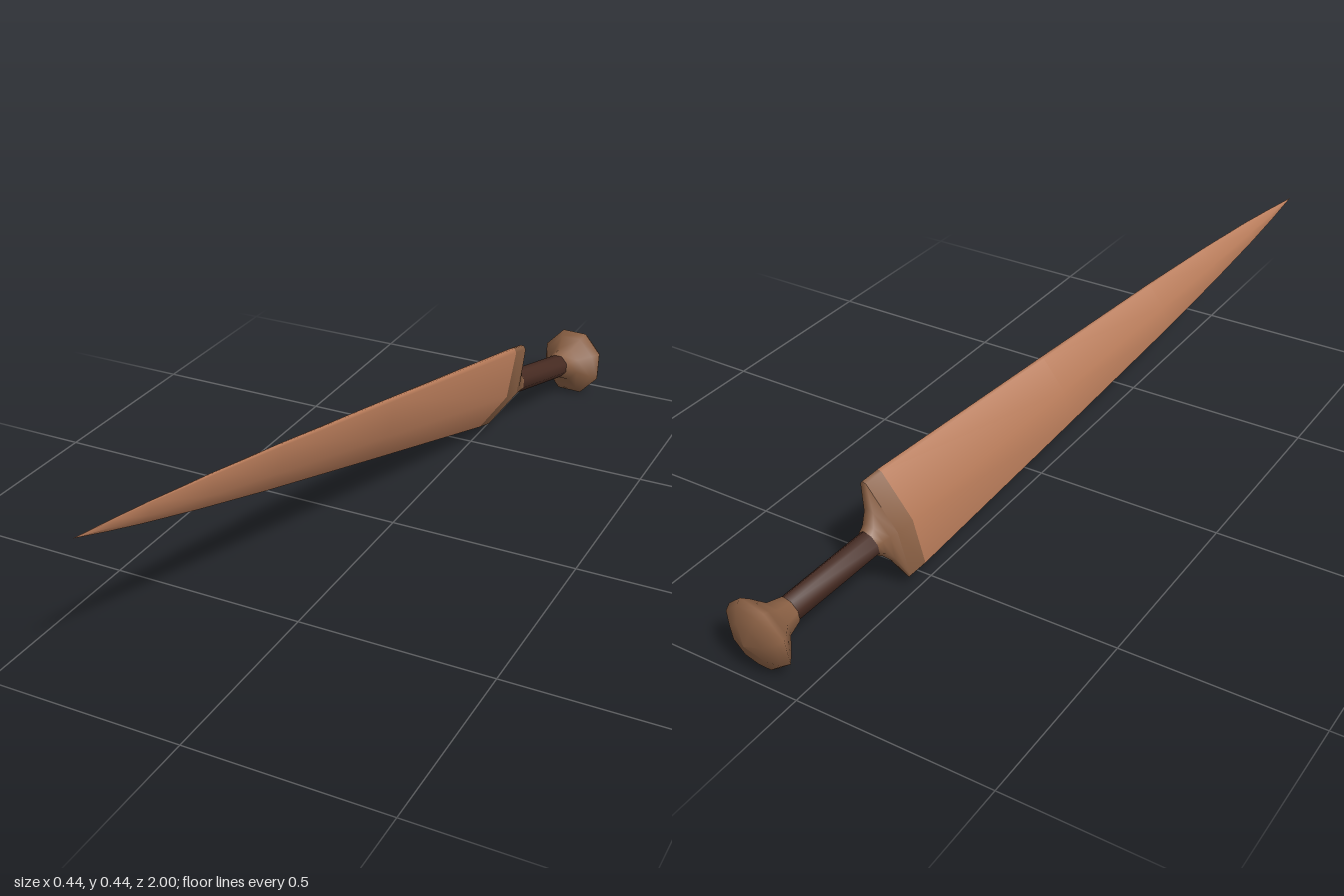
import * as THREE from 'three';

const SLOPE = new THREE.Vector3(-0.18, 0.18, 1); // run of the axis per unit of z
const STRETCH = SLOPE.length();
const lerp = THREE.MathUtils.lerp;

// Eight-sided ring: a = half width, b = half thickness, f = 0 round .. 1 flat blade section
function ring([z, a, b, f]) {
  const w = a * lerp(0.707, 0.95, f), t = b * lerp(0.707, 0.24, f);
  return [[a, 0], [w, t], [0, b], [-w, t], [-a, 0], [-w, -t], [0, -b], [w, -t]]
    .map(([x, y]) => [x, y, (z - 1) * STRETCH]);
}

// Smooth skin over rings listed from the back to the tip
function loft(rings) {
  const index = [];
  for (let i = 0; i < rings.length - 1; i++) {
    for (let j = 0; j < 8; j++) {
      const k = (j + 1) % 8, p = i * 8, q = p + 8;
      index.push(p + j, p + k, q + k, p + j, q + k, q + j);
    }
  }
  const geometry = new THREE.BufferGeometry();
  geometry.setAttribute('position', new THREE.Float32BufferAttribute(rings.map(ring).flat(2), 3));
  geometry.setIndex(index);
  geometry.computeVertexNormals();
  return geometry;
}

export function createModel() {
  const material = (name, color) => new THREE.MeshStandardMaterial({ name, color });
  const copper = material('copper', 0xb97c5a);
  const bronze = material('bronze', 0x8a6044);
  const leather = material('dark leather', 0x472b22);

  const dagger = new THREE.Group();
  dagger.name = 'dagger';
  const add = (name, mat, rings) => {
    const mesh = new THREE.Mesh(loft(rings), mat);
    mesh.name = name;
    dagger.add(mesh);
  };

  // Blade: long taper with a rounded run to the point
  add('blade', copper, [
    [-0.53, 0.135, 0.044, 1], [0, 0.099, 0.033, 1], [0.4, 0.07, 0.024, 1],
    [0.62, 0.05, 0.018, 1], [0.8, 0.03, 0.011, 1], [0.9, 0.016, 0.007, 1], [1, 0, 0, 1],
  ]);

  // Guard: band at the blade root, then a hollow curve into the grip
  add('guardBand', bronze, [[-0.578, 0.135, 0.045, 1], [-0.53, 0.135, 0.044, 1]]);
  add('guardNeck', bronze, [
    [-0.63, 0.034, 0.034, 0], [-0.615, 0.046, 0.036, 0.2],
    [-0.597, 0.075, 0.04, 0.6], [-0.578, 0.135, 0.045, 1],
  ]);

  // Grip
  add('grip', leather, [[-0.885, 0.033, 0.033, 0], [-0.62, 0.033, 0.033, 0]]);

  // Pommel: flared collar and domed cap
  add('pommel', bronze, [
    [-0.995, 0, 0, 0], [-0.985, 0.055, 0.055, 0], [-0.967, 0.088, 0.088, 0],
    [-0.95, 0.097, 0.097, 0], [-0.932, 0.08, 0.08, 0], [-0.905, 0.048, 0.048, 0],
    [-0.868, 0.036, 0.036, 0], [-0.865, 0.032, 0.032, 0],
  ]);

  // Lay the dagger along its slanted axis with the tip at its place
  const axis = SLOPE.clone().normalize();
  const side = new THREE.Vector3().crossVectors(axis, new THREE.Vector3(0.354, 0.93, -0.1)).normalize();
  const width = new THREE.Vector3().crossVectors(side, axis);
  dagger.quaternion.setFromRotationMatrix(new THREE.Matrix4().makeBasis(width, side, axis));
  dagger.position.set(-0.22, 0.444, 1);

  const model = new THREE.Group();
  model.name = 'model';
  model.add(dagger);
  return model;
}
